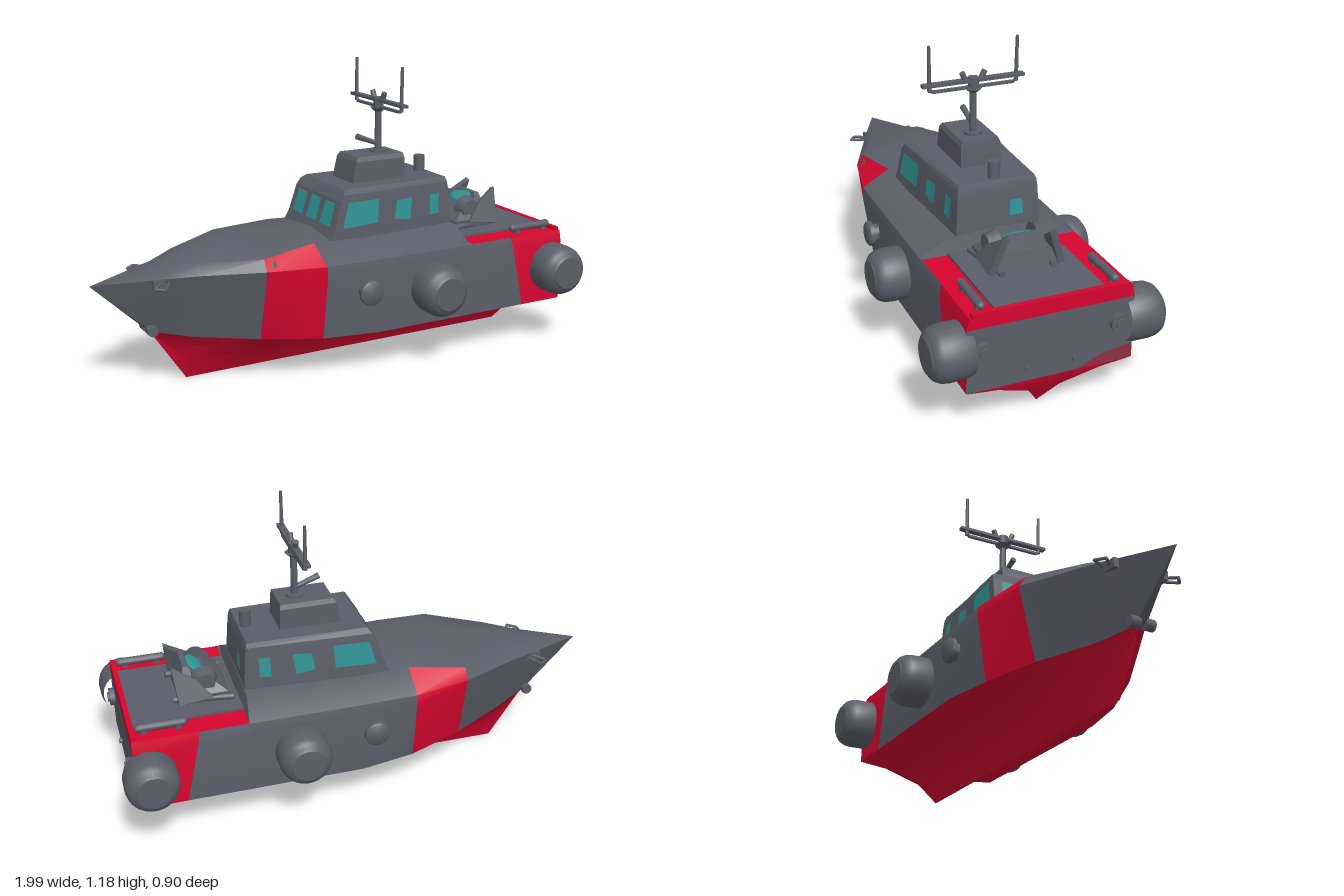
import * as THREE from 'three';
import { toCreasedNormals } from 'three/addons/utils/BufferGeometryUtils.js';

const mat = (name, color, side = THREE.FrontSide) => {
  const m = new THREE.MeshStandardMaterial({ color, side });
  m.name = name;
  return m;
};
const lerp = THREE.MathUtils.lerp;

export function createModel() {
  const grey = mat('hull grey', 0x5b5e68);
  const red = mat('signal red', 0xd6052f);
  const faded = mat('faded red', 0x8c3044);
  const teal = mat('window teal', 0x319595, THREE.DoubleSide);
  const model = new THREE.Group();

  const add = (name, geo, material, x = 0, y = 0, z = 0) => {
    const m = new THREE.Mesh(geo, material);
    m.name = name;
    m.position.set(x, y, z);
    model.add(m);
    return m;
  };
  const box = (name, w, h, d, x, y, z, material = grey) => add(name, new THREE.BoxGeometry(w, h, d), material, x, y, z);
  const rod = (name, a, b, r, r2 = r) => {
    const p = new THREE.Vector3(...a), q = new THREE.Vector3(...b);
    const m = add(name, new THREE.CylinderGeometry(r2, r, p.distanceTo(q), 12), grey);
    m.position.copy(p).add(q).multiplyScalar(0.5);
    m.quaternion.setFromUnitVectors(new THREE.Vector3(0, 1, 0), q.sub(p).normalize());
    return m;
  };
  // geometry from a list of quads, each four corners counter-clockwise
  const quadGeo = (quads, crease = 0.45) => {
    const pos = [];
    for (const [a, b, c, d] of quads) pos.push(...a, ...b, ...c, ...a, ...c, ...d);
    const g = new THREE.BufferGeometry();
    g.setAttribute('position', new THREE.Float32BufferAttribute(pos, 3));
    return toCreasedNormals(g, crease);
  };
  // stack of trapezoids [y, x0, x1, half width at x0, half width at x1], capped on top
  const loft = (levels) => {
    const rings = levels.map(([y, x0, x1, w, w1 = w]) => [[x0, y, w], [x1, y, w1], [x1, y, -w1], [x0, y, -w]]);
    const quads = [];
    for (let i = 0; i + 1 < rings.length; i++)
      for (let k = 0; k < 4; k++) {
        const n = (k + 1) % 4;
        quads.push([rings[i][k], rings[i][n], rings[i + 1][n], rings[i + 1][k]]);
      }
    quads.push(rings.at(-1));
    return quadGeo(quads, 0.2);
  };

  // Hull stations: x at sheer, x at keel, then [z, y] from keel to deck centre
  const belly = [[0, 0], [0.06, 0.09], [0.2, 0.155], [0.32, 0.17]];
  const aftDeck = [[0.32, 0.42], [0.31, 0.465], [0.21, 0.465], [0, 0.465]];
  const midDeck = [[0.32, 0.43], [0.313, 0.465], [0.21, 0.522], [0, 0.54]];
  const stations = [
    [-1, -1, Array(8).fill([0, 0.43])],
    [-0.77, -0.77, [[0, 0.21], [0.005, 0.212], [0.01, 0.215], [0.02, 0.22], [0.1, 0.43], [0.104, 0.45], [0.06, 0.463], [0, 0.468]]],
    [-0.63, -0.63, [[0, 0], [0.025, 0.08], [0.055, 0.15], [0.085, 0.195], [0.155, 0.43], [0.165, 0.46], [0.12, 0.495], [0, 0.522]]],
    [-0.4, -0.4, [[0, 0], [0.045, 0.08], [0.13, 0.15], [0.2, 0.183], [0.26, 0.43], [0.267, 0.468], [0.24, 0.512], [0, 0.56]]],
    [-0.17, -0.17, [[0, 0], [0.06, 0.09], [0.18, 0.153], [0.28, 0.17], [0.318, 0.43], [0.314, 0.468], [0.205, 0.535], [0, 0.55]]],
    [0.05, 0.05, [...belly, ...midDeck]],
    [0.485, 0.485, [...belly, ...midDeck]],
    [0.5, 0.5, [...belly, ...aftDeck]],
    [0.69, 0.79, [...belly, ...aftDeck]],
    [0.93, 0.84, [...belly, ...aftDeck]],
  ];
  const last = stations.length - 1;
  const rings = stations.map(([xt, xb, pts], i) => pts.map(([z, y]) => {
    const x = i === last ? Math.min(0.945, 0.84 + 0.65 * y) : lerp(xb, xt, Math.min(1, y / 0.46));
    return [x, y, z];
  }));
  const flip = ([x, y, z]) => [x, y, -z];
  const greyQuads = [], redQuads = [];
  for (let i = 0; i < last; i++)
    for (let j = 0; j < 7; j++) {
      const q = [rings[i][j], rings[i + 1][j], rings[i + 1][j + 1], rings[i][j + 1]];
      const bottom = j < 3 && i > 0;
      const foreBand = i === 3 && j < 6;
      const aftBand = (i === 8 && j < 6) || (i === 7 && j === 5);
      (bottom || foreBand || aftBand ? redQuads : greyQuads).push(q, q.map(flip).reverse());
    }
  // transom
  for (let j = 0; j < 5; j++) {
    const a = rings[last][j], b = rings[last][j + 1];
    (j === 3 ? greyQuads : redQuads).push([a, flip(a), flip(b), b]);
  }
  add('hullGrey', quadGeo(greyQuads, 0.6), grey);
  add('hullRed', quadGeo(redQuads, 0.6), red);
  add('transomStain', quadGeo([[[0.947, 0.172, -0.1], [0.947, 0.172, -0.32], [0.947, 0.23, -0.32], [0.947, 0.215, -0.2]]]), faded);
  box('aftHatch', 0.425, 0.012, 0.42, 0.7125, 0.469, 0);
  box('sternLip', 0.02, 0.022, 0.6, 0.935, 0.467, 0, red);

  // Cabin, narrowing aft, and upper housing
  const sill = [0.565, -0.075, 0.482, 0.198, 0.166], lintel = [0.675, -0.042, 0.474, 0.189, 0.16];
  add('cabin', loft([[0.46, -0.13, 0.485, 0.207, 0.172], sill, lintel, [0.7, -0.026, 0.47, 0.184, 0.157], [0.717, -0.01, 0.465, 0.16, 0.15]]), grey);
  add('upperHousing', loft([[0.71, 0.07, 0.318, 0.082], [0.745, 0.076, 0.316, 0.081], [0.8, 0.088, 0.313, 0.08], [0.818, 0.098, 0.31, 0.072]]), grey);

  // Windows as thin panes lying on the cabin walls
  const pane = (name, outline) => add(name, quadGeo([outline]), teal);
  const wall = (y) => sill.map((v, i) => lerp(v, lintel[i], (y - sill[0]) / (lintel[0] - sill[0])));
  const sideZ = (x, y) => {
    const [, x0, x1, w0, w1] = wall(y);
    return lerp(w0, w1, (x - x0) / (x1 - x0)) + 0.004;
  };
  const sideWindows = [
    [[-0.038, 0.572], [0.125, 0.575], [0.132, 0.67], [-0.01, 0.67]],
    [[0.205, 0.58], [0.28, 0.568], [0.293, 0.655], [0.218, 0.652]],
    [[0.378, 0.572], [0.423, 0.575], [0.425, 0.653], [0.382, 0.657]],
  ];
  for (const s of [1, -1])
    for (const w of sideWindows) pane('sideWindow', w.map(([x, y]) => [x, y, s * sideZ(x, y)]));
  for (const z of [-0.115, 0, 0.115])
    pane('windscreen', [[0.042, 0.575], [-0.042, 0.575], [-0.038, 0.665], [0.038, 0.665]].map(([dz, y]) => [wall(y)[1] - 0.004, y, z + dz]));
  pane('rearWindow', [[-0.045, 0.575], [-0.1, 0.575], [-0.095, 0.635], [-0.048, 0.635]].map(([z, y]) => [wall(y)[2] + 0.004, y, z]));

  // Mast, crossbars, aerials, searchlight and exhaust
  rod('mastBase', [0.235, 0.81, 0], [0.235, 0.828, 0], 0.036);
  rod('mast', [0.235, 0.82, 0], [0.235, 1.0, 0], 0.015, 0.013);
  rod('mastCollar', [0.235, 0.983, 0], [0.235, 1.0, 0], 0.015, 0.034);
  rod('mastHead', [0.235, 1.0, 0], [0.235, 1.042, 0], 0.02, 0.022);
  box('upperCrossbar', 0.028, 0.012, 0.41, 0.235, 1.03, 0);
  box('lowerCrossbar', 0.014, 0.01, 0.33, 0.235, 1.003, 0);
  for (const s of [1, -1]) {
    rod('barBrace', [0.235, 1.003, s * 0.165], [0.235, 1.028, s * 0.185], 0.006);
    rod('aerial', [0.235, 1.005, s * 0.175], [0.235, 1.182, s * 0.177], 0.008, 0.006);
    rod('mastLamp', [0.235, 1.035, s * 0.033], [0.235, 1.063, s * 0.046], 0.011);
  }
  rod('searchlight', [0.135, 0.888, 0], [0.235, 0.85, 0], 0.012, 0.009);
  rod('exhaust', [0.435, 0.69, 0], [0.435, 0.783, 0], 0.023);

  // Lathed side fittings, axis pointing outward
  const sideFitting = (name, profile, x, y, z, s) => {
    const geo = new THREE.LatheGeometry(profile.map((p) => new THREE.Vector2(...p)), 32);
    add(name, toCreasedNormals(geo, 0.6), grey, x, y, z * s).rotation.x = s * Math.PI / 2;
  };
  const pod = [[0.095, 0], [0.103, 0.03], [0.104, 0.09], [0.1, 0.115], [0.09, 0.135], [0.076, 0.146], [0.07, 0.148], [0.066, 0.153], [0, 0.155]];
  const port = [[0.035, 0], [0.035, 0.03], [0.05, 0.034], [0.05, 0.05], [0.042, 0.056], [0, 0.058]];
  for (const s of [1, -1]) {
    sideFitting('midPod', pod, 0.305, 0.32, 0.295, s);
    sideFitting('sternPod', pod, 0.89, 0.32, 0.295, s);
    sideFitting('sidePort', port, 0.005, 0.347, 0.305, s);
    // stern fittings
    rod('transomPort', [0.92, 0.33, s * 0.26], [0.965, 0.33, s * 0.26], 0.036);
    rod('transomPortHub', [0.96, 0.33, s * 0.26], [0.972, 0.33, s * 0.26], 0.02);
    rod('drain', [0.93, 0.22, s * 0.09], [0.958, 0.22, s * 0.09], 0.01);
    // deck rails
    const rail = add('sternRail', new THREE.CapsuleGeometry(0.016, 0.17, 6, 12), grey, 0.825, 0.488, s * 0.255);
    rail.rotation.z = Math.PI / 2;
    for (const x of [0.76, 0.89]) box('railFoot', 0.02, 0.03, 0.025, x, 0.472, s * 0.255);
    // bow fittings
    rod('bollard', [-0.365, 0.46, s * 0.25], [-0.365, 0.495, s * 0.235], 0.016);
    const loop = [[-0.755, 0.435, s * 0.105], [-0.8, 0.43, s * 0.15], [-0.768, 0.43, s * 0.178], [-0.735, 0.435, s * 0.125]];
    for (let i = 0; i < 3; i++) rod('bowLoop', loop[i], loop[i + 1], 0.006);
    box('bowCleat', 0.06, 0.035, 0.02, -0.76, 0.432, s * 0.103);
    rod('anchorEye', [-0.775, 0.23, s * 0.01], [-0.775, 0.23, s * 0.05], 0.022);
  }

  // Small craft on the aft deck, its canopy tilted forward
  add('craftBody', loft([[0.47, 0.53, 0.73, 0.125], [0.51, 0.54, 0.72, 0.13], [0.565, 0.61, 0.71, 0.085]]), grey);
  add('craftBack', loft([[0.55, 0.66, 0.715, 0.085], [0.605, 0.678, 0.7, 0.06]]), grey);
  const canopy = add('craftCanopy', new THREE.SphereGeometry(1, 16, 10), teal, 0.65, 0.583, 0);
  canopy.scale.set(0.036, 0.012, 0.064);
  canopy.rotation.z = 0.5;
  const finShape = new THREE.Shape([[0.6, 0.5], [0.735, 0.485], [0.75, 0.637], [0.66, 0.575]].map((p) => new THREE.Vector2(...p)));
  const finGeo = new THREE.ExtrudeGeometry(finShape, { depth: 0.025, bevelEnabled: false });
  finGeo.translate(0, -0.48, -0.0125);
  for (const s of [1, -1]) {
    add('craftFin', finGeo, grey, 0, 0.48, s * 0.14).rotation.x = -s * 0.33;
    rod('craftThruster', [0.625, 0.55, s * 0.07], [0.625, 0.55, s * 0.115], 0.055, 0.04);
    rod('craftSkid', [0.52, 0.485, s * 0.13], [0.75, 0.49, s * 0.1], 0.013);
  }
  rod('craftBumper', [0.525, 0.485, -0.13], [0.525, 0.485, 0.13], 0.012);
  return model;
}
